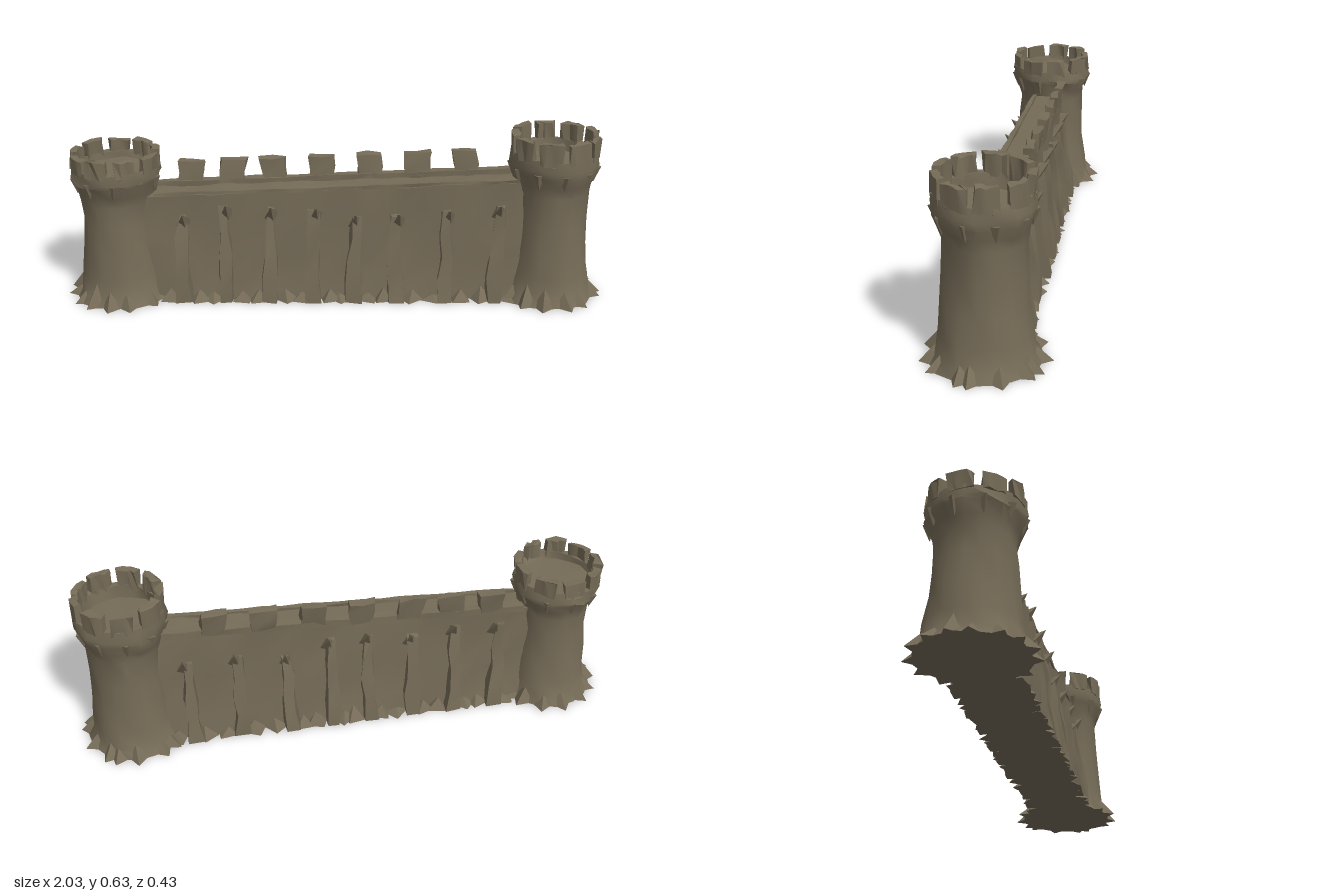
import * as THREE from 'three';
import { toCreasedNormals } from 'three/addons/utils/BufferGeometryUtils.js';

const stone = new THREE.MeshStandardMaterial({ color: 0x756b57, side: THREE.DoubleSide });
stone.name = 'weatheredStone';

// Repeatable noise in -1..1 from a position, so shared corners move together
function noise(x, y, z, k) {
  const r = (v) => Math.round(v * 1000) + 0;
  const s = Math.sin(r(x) * 12.9898 + r(y) * 78.233 + r(z) * 37.719 + k * 4.137) * 43758.5453;
  return (s - Math.floor(s)) * 2 - 1;
}

// Move every vertex by a rule, then roughen it; the ground stays level
function shapeStone(geo, amount, rule, crease = 0.75) {
  const p = geo.attributes.position;
  const v = new THREE.Vector3();
  for (let i = 0; i < p.count; i++) {
    v.fromBufferAttribute(p, i);
    if (rule) rule(v);
    const { x, y, z } = v;
    v.x += noise(x, y, z, 1) * amount;
    if (y > 0.004) v.y += noise(x, y, z, 2) * amount * 0.7;
    v.z += noise(x, y, z, 3) * amount;
    p.setXYZ(i, v.x, v.y, v.z);
  }
  return toCreasedNormals(geo, crease);
}

function add(group, name, geo) {
  const mesh = new THREE.Mesh(geo, stone);
  mesh.name = name;
  group.add(mesh);
  return mesh;
}

// One block of the ring that crowns a tower
function ringBlock(a0, a1, inner, outer, height) {
  const s = new THREE.Shape();
  s.absarc(0, 0, outer, a0, a1, false);
  s.absarc(0, 0, inner, a1, a0, true);
  const g = new THREE.ExtrudeGeometry(s, { depth: height, bevelEnabled: false, curveSegments: 2 });
  return g.rotateX(-Math.PI / 2);
}

function tower(name, x, top, rim, lip, floor) {
  const g = new THREE.Group();
  g.name = name;
  g.position.x = x;
  // Flared shaft and hollow head
  const profile = [
    [0, 0], [0.183, 0], [0.165, 0.03], [0.152, 0.1], [0.14, 0.2], [0.133, 0.3], [0.134, lip - 0.06],
    [0.143, lip - 0.02], [0.16, lip + 0.02], [0.164, rim - 0.04], [0.158, rim],
    [0.134, rim], [0.128, floor], [0, floor],
  ].map(([r, y]) => new THREE.Vector2(r, y));
  add(g, 'towerShaft', shapeStone(new THREE.LatheGeometry(profile, 16), 0.006));

  // Battlements with narrow uneven gaps
  const n = 9;
  for (let i = 0; i < n; i++) {
    const a = (i / n) * Math.PI * 2;
    const w = (0.74 + noise(i, x, 0, 5) * 0.08) * Math.PI * 2 / n;
    const block = ringBlock(a, a + w, 0.133, 0.16, top - rim + 0.015 - (i % 3) * 0.003);
    block.translate(0, rim - 0.015, 0);
    add(g, 'towerBattlement', shapeStone(block, 0.006, null, 0.5));
  }

  // Broken stones round the foot
  for (let i = 0; i < 15; i++) {
    const a = (i + 0.3 * noise(i, x, 1, 6)) / 15 * Math.PI * 2;
    const h = 0.05 + 0.035 * (noise(i, x, 2, 7) + 1) / 2;
    const shard = new THREE.ConeGeometry(0.04, h, 4, 1).translate(0, h / 2, 0);
    const m = add(g, 'footStone', shapeStone(shard, 0.008, (v) => { v.z *= 0.75; v.x -= v.y * 0.3; }, 0.4));
    m.position.set(Math.cos(a) * 0.163, 0, Math.sin(a) * 0.168);
    m.rotation.y = -a;
  }

  // Chipped corbels hanging under the head
  for (let i = 0; i < 10; i++) {
    const a = (i + 0.35) / 10 * Math.PI * 2;
    const chip = new THREE.ConeGeometry(0.022, 0.06, 4).rotateX(Math.PI);
    const m = add(g, 'headCorbel', shapeStone(chip, 0.005, null, 0.4));
    m.position.set(Math.cos(a) * 0.148, lip + 0.005, Math.sin(a) * 0.148);
    m.rotation.y = -a;
  }
  return g;
}

// The wall top climbs gently towards +x
const wallTop = (x) => 0.431 + 0.04 * x;

export function createModel() {
  const model = new THREE.Group();
  model.name = 'castleWall';
  model.add(tower('lowTower', -0.81, 0.565, 0.515, 0.44, 0.49));
  model.add(tower('tallTower', 0.805, 0.63, 0.565, 0.475, 0.52));

  // Curtain wall, thicker at the foot
  const wall = new THREE.BoxGeometry(1.42, 1, 1, 22, 5, 2);
  add(model, 'curtainWall', shapeStone(wall, 0.008, (v) => {
    const t = v.y + 0.5;
    v.y = t * wallTop(v.x);
    v.z = v.z * 2 * (0.092 - 0.03 * Math.sqrt(t));
  }));

  // Low kerbs along both edges of the walkway
  for (const [z, w, h, name] of [[0.054, 0.018, 0.014, 'frontKerb'], [-0.054, 0.032, 0.026, 'backParapet']]) {
    const kerb = new THREE.BoxGeometry(1.34, h, w, 18, 1, 1);
    add(model, name, shapeStone(kerb, 0.003, (v) => {
      v.y += wallTop(v.x) + h * 0.25;
      v.z += z;
    }));
  }

  // Leaning merlons on the back parapet
  [-0.545, -0.39, -0.225, -0.05, 0.13, 0.31, 0.49].forEach((x, i) => {
    const lean = noise(i, 3, 0, 8) * 0.012;
    const merlon = new THREE.BoxGeometry(0.095, 0.09, 0.032, 2, 2, 1);
    add(model, 'merlon', shapeStone(merlon, 0.006, (v) => {
      const t = v.y / 0.09 + 0.5;
      v.x = v.x * (0.9 + 0.14 * t) + x + lean * t;
      v.y += wallTop(x) + 0.046;
      v.z -= 0.056 + 0.012 * t;
    }, 0.5));
  });

  // Tapering buttresses and rubble on both faces
  const stations = [-0.57, -0.41, -0.245, -0.08, 0.065, 0.225, 0.41, 0.595];
  for (const side of [1, -1]) {
    stations.forEach((x, i) => {
      const h = 0.345 + 0.035 * noise(i, side, 0, 9);
      const buttress = new THREE.BoxGeometry(0.05, 1, 1, 1, 4, 1);
      add(model, 'buttress', shapeStone(buttress, 0.009, (v) => {
        const t = v.y + 0.5;
        const out = v.z > 0 === side > 0;
        v.x = v.x * (1.15 - 0.5 * t) + x + 0.012 * t * noise(i, side, 1, 4);
        v.y = t * h;
        v.z = side * (out ? 0.128 - 0.048 * t : 0.05);
      }, 0.5));

      // Chipped coping above each buttress
      const chip = new THREE.ConeGeometry(0.028, 0.075, 4);
      const c = add(model, 'wallChip', shapeStone(chip, 0.006, null, 0.4));
      c.position.set(x + 0.01, h - 0.005, side * 0.085);
      c.rotation.set(side * 0.8, 0.4, 0);

      // Low rubble at the wall foot
      for (const dx of [-0.045, 0.06]) {
        const rh = 0.035 + 0.015 * noise(i, dx * 100, side, 3);
        const rock = new THREE.ConeGeometry(0.045, rh, 4).translate(0, rh / 2, 0);
        const r = add(model, 'wallFootStone', shapeStone(rock, 0.006, null, 0.4));
        r.position.set(x + dx, 0, side * 0.09);
        r.rotation.y = i + dx * 20;
      }
    });
  }
  return model;
}
